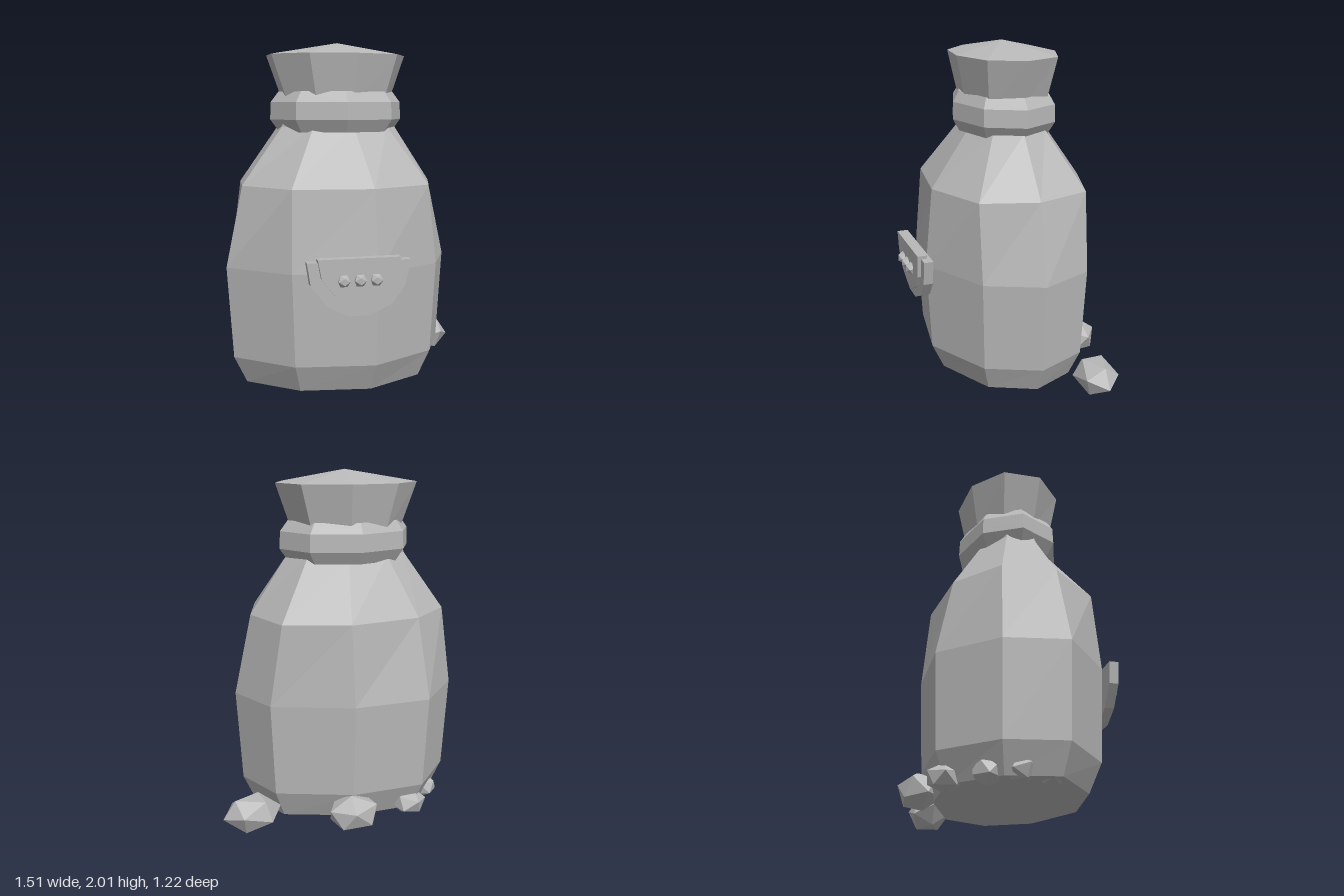
import * as THREE from 'three';

const CX = -0.06, CZ = -0.03;

// Nine-sided outlines [x, z], counter-clockwise seen from above
const belly = [[0.61, -0.04], [0.48, -0.35], [0.04, -0.52], [-0.41, -0.51], [-0.68, -0.21], [-0.74, 0.14], [-0.41, 0.42], [0.06, 0.49], [0.46, 0.28]];
const shoulder = [[0.51, -0.04], [0.41, -0.36], [0.05, -0.48], [-0.37, -0.42], [-0.62, -0.2], [-0.64, 0.1], [-0.4, 0.38], [0.05, 0.44], [0.41, 0.28]];
const rim = [[0.35, -0.03], [0.26, -0.24], [0, -0.34], [-0.28, -0.31], [-0.46, -0.15], [-0.46, 0.07], [-0.27, 0.23], [0, 0.26], [0.25, 0.17]];

// A level of the sack: an outline scaled about the axis at height y
const level = (outline, y, sx = 1, sz = sx) =>
  outline.map(([x, z]) => [CX + (x - CX) * sx, y, CZ + (z - CZ) * sz]);

// Joins levels bottom to top and closes both ends with a fan
function loft(levels, bottom, top) {
  const n = levels[0].length, pos = levels.flat(2), index = [];
  for (let k = 0; k < levels.length - 1; k++) {
    for (let i = 0; i < n; i++) {
      const j = (i + 1) % n, a = k * n + i, b = k * n + j;
      index.push(a, b, b + n, a, b + n, a + n);
    }
  }
  const lo = levels.length * n, last = lo - n;
  pos.push(...bottom, ...top);
  for (let i = 0; i < n; i++) {
    const j = (i + 1) % n;
    index.push(lo, j, i, lo + 1, last + i, last + j);
  }
  const g = new THREE.BufferGeometry();
  g.setAttribute('position', new THREE.Float32BufferAttribute(pos, 3));
  g.setIndex(index);
  const flat = g.toNonIndexed();
  flat.computeVertexNormals();
  return flat;
}

function plate(points, depth) {
  const shape = new THREE.Shape(points.map(([x, y]) => new THREE.Vector2(x, y)));
  return new THREE.ExtrudeGeometry(shape, { depth, bevelEnabled: false });
}

export function createModel() {
  const group = new THREE.Group();
  const cloth = new THREE.MeshStandardMaterial({ color: 0xb8b8b8 });
  cloth.name = 'plain grey';
  cloth.flatShading = true;

  const add = (name, geometry, x = 0, y = 0, z = 0) => {
    const mesh = new THREE.Mesh(geometry, cloth);
    mesh.name = name;
    mesh.position.set(x, y, z);
    group.add(mesh);
    return mesh;
  };

  // Sack with pinched neck and flared, gently peaked mouth
  add('sack', loft([
    level(belly, 0.04, 0.84, 0.81),
    level(belly, 0.2, 0.95, 0.95),
    level(belly, 0.73),
    level(shoulder, 1.19),
    level(rim, 1.52, 0.85, 0.75),
    level(rim, 1.66, 0.77, 0.82),
    level(rim, 1.93),
  ], [CX, 0.04, CZ], [CX, 2, CZ]));

  // Eight-sided rolled tie around the neck
  const band = [[0.27, 1.53], [0.34, 1.49], [0.39, 1.56], [0.385, 1.66], [0.34, 1.72], [0.25, 1.7], [0.27, 1.53]];
  const tie = new THREE.LatheGeometry(band.map(([r, y]) => new THREE.Vector2(r, y)), 8);
  tie.scale(1.01, 1, 0.78);
  add('neckTie', tie, -0.063, 0, -0.035);

  // Half-round pocket with a raised flap
  add('pocket', plate([[-0.35, 0.815], [-0.33, 0.69], [-0.24, 0.575], [-0.13, 0.515], [0, 0.515],
    [0.125, 0.575], [0.195, 0.67], [0.225, 0.815]], 0.055), 0, 0, 0.49);
  add('pocketFlap', plate([[-0.295, 0.835], [-0.275, 0.73], [-0.2, 0.63], [-0.09, 0.575], [0.01, 0.575],
    [0.09, 0.62], [0.145, 0.7], [0.165, 0.835]], 0.057), 0, 0, 0.51);

  // Studs on the pocket
  for (const x of [-0.155, -0.065, 0.025]) {
    add('stud', new THREE.IcosahedronGeometry(0.037, 0), x, 0.715, 0.57);
  }

  // Stones around the foot: position, half sizes, turn
  const stones = [
    [0.6, 0.12, -0.365, 0.155, 0.1, 0.115, 0.3],
    [0.04, 0.1, -0.5, 0.145, 0.1, 0.115, 1.2],
    [-0.33, 0.08, -0.42, 0.1, 0.07, 0.1, 0.7],
    [-0.5, 0.075, -0.24, 0.09, 0.065, 0.08, 2],
    [-0.56, 0.085, -0.08, 0.08, 0.065, 0.08, 0.4],
    [-0.54, 0.08, 0.08, 0.08, 0.06, 0.07, 1.5],
  ];
  for (const [x, y, z, w, h, d, turn] of stones) {
    const g = new THREE.IcosahedronGeometry(1.1, 0);
    g.rotateX(turn);
    g.rotateY(turn * 2);
    g.scale(w, h, d);
    add('stone', g, x, y, z);
  }
  return group;
}
